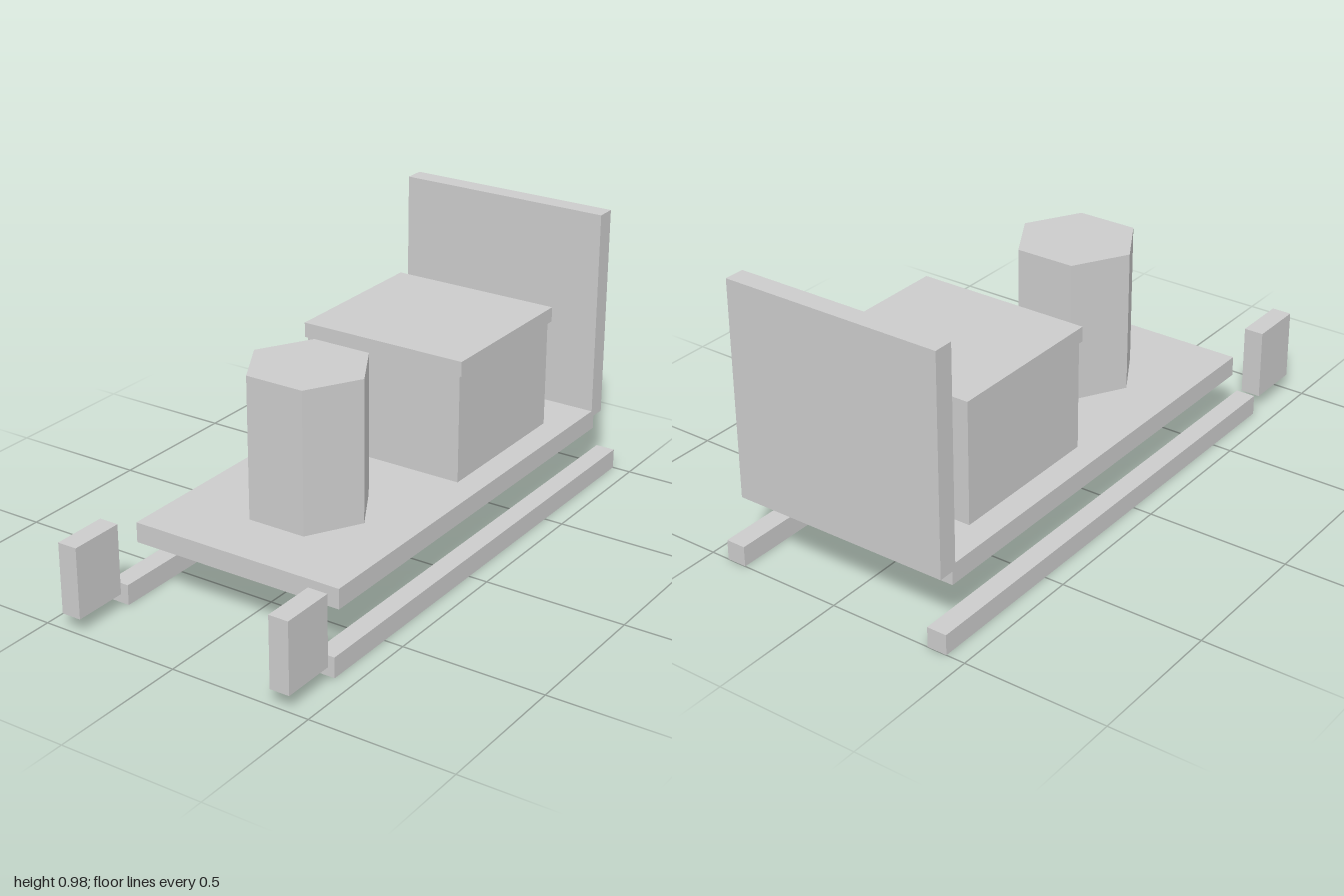
import * as THREE from 'three';

export function createModel() {
  const group = new THREE.Group();
  const material = new THREE.MeshStandardMaterial({ color: 0xcccccc, flatShading: true });

  function add(name, geometry, x, y, z) {
    const mesh = new THREE.Mesh(geometry, material);
    mesh.name = name;
    mesh.position.set(x, y, z);
    group.add(mesh);
    return mesh;
  }

  // Box given by its extents along each axis
  function box(name, [x0, x1], [y0, y1], [z0, z1]) {
    return add(name, new THREE.BoxGeometry(x1 - x0, y1 - y0, z1 - z0),
      (x0 + x1) / 2, (y0 + y1) / 2, (z0 + z1) / 2);
  }

  // Deck and upright back board
  box('deck', [-0.39, 0.39], [0.18, 0.25], [-0.91, 0.683]);
  box('backBoard', [-0.39, 0.39], [0.227, 0.98], [-0.965, -0.895]);

  // Seat box with overhanging lid
  box('seatBox', [-0.3, 0.3], [0.248, 0.631], [-0.709, -0.135]);
  box('seatLid', [-0.309, 0.309], [0.631, 0.683], [-0.721, -0.13]);

  // Hexagonal post passing through the deck, corners pointing sideways
  const post = add('hexagonalPost', new THREE.CylinderGeometry(0.211, 0.211, 0.638, 6), 0, 0.427, 0.283);
  post.rotation.y = Math.PI / 6;

  // Mirrored runners and the separate blocks in front of them
  for (const [side, s] of [['left', 1], ['right', -1]]) {
    const xs = [s * 0.363, s * 0.433].sort((a, b) => a - b);
    box(side + 'Runner', xs, [0, 0.071], [-1, 0.77]);
    box(side + 'RunnerTip', xs, [0.055, 0.302], [0.804, 1]);
  }

  return group;
}
